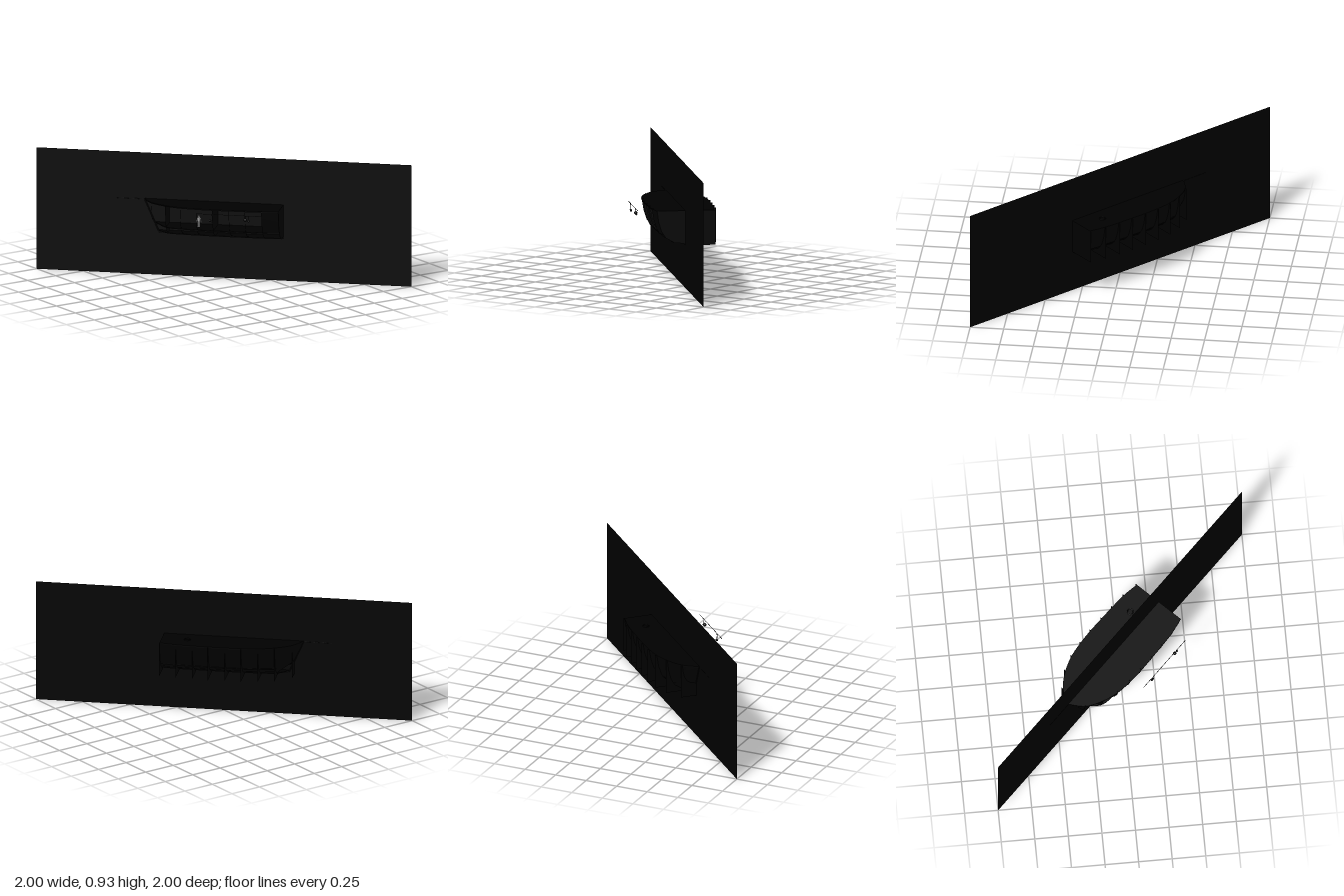
import * as THREE from 'three';

const black = new THREE.MeshStandardMaterial({ color: 0x000000, side: THREE.DoubleSide });
const grey = new THREE.MeshStandardMaterial({ color: 0xcccccc });

const KEEL = 0.33, RIM = 0.58;
// Frame stations: distance along the hull (bow negative), half beam
const STATIONS = [
  [-0.53, 0.11], [-0.41, 0.185], [-0.29, 0.225], [-0.167, 0.24], [-0.045, 0.245],
  [0.08, 0.243], [0.2, 0.24], [0.325, 0.233], [0.45, 0.212],
];
// Half section of the hull: fraction of beam, fraction of height
const SECTION = [[0, 0], [0.42, 0.06], [0.68, 0.18], [0.84, 0.38], [0.94, 0.66], [1, 1]];

const keelAt = (x) => (x < -0.49 ? KEEL + (RIM - KEEL) * (-0.49 - x) / 0.11 : KEEL);

function sectionPoints([x, w]) {
  const k = keelAt(x);
  return SECTION.map(([a, b]) => new THREE.Vector2(a * w, k + b * (RIM - k)));
}

function beamFraction(y) {
  const h = (y - KEEL) / (RIM - KEEL);
  const i = Math.max(1, SECTION.findIndex(([, b]) => b >= h));
  const [a0, b0] = SECTION[i - 1], [a1, b1] = SECTION[i];
  return a0 + (a1 - a0) * (h - b0) / (b1 - b0);
}

function add(parent, name, geometry, material = black, x = 0, y = 0, z = 0) {
  const mesh = new THREE.Mesh(geometry, material);
  mesh.name = name;
  mesh.position.set(x, y, z);
  parent.add(mesh);
  return mesh;
}

// Hull skin lofted through stations on one side (+1 port, -1 starboard)
function hullSkin(stations, side) {
  const pos = [], idx = [], n = SECTION.length;
  for (const s of stations) for (const p of sectionPoints(s)) pos.push(s[0], p.y, side * p.x);
  for (let i = 0; i < stations.length - 1; i++) {
    for (let j = 0; j < n - 1; j++) {
      const a = i * n + j, b = a + n;
      if (side > 0) idx.push(a, b, a + 1, b, b + 1, a + 1);
      else idx.push(a, a + 1, b, b, a + 1, b + 1);
    }
  }
  const g = new THREE.BufferGeometry();
  g.setAttribute('position', new THREE.Float32BufferAttribute(pos, 3));
  g.setIndex(idx);
  g.computeVertexNormals();
  return g;
}

// Horizontal deck following the hull outline at height y
function deckGeometry(y, bowX, thickness) {
  const f = beamFraction(y);
  const half = STATIONS.filter(([x]) => x > bowX + 0.03).map(([x, w]) => new THREE.Vector2(x, w * f));
  const curve = new THREE.SplineCurve([new THREE.Vector2(bowX, 0), ...half]).getPoints(40);
  const mirrored = curve.slice(1).reverse().map((p) => new THREE.Vector2(p.x, -p.y));
  const g = new THREE.ExtrudeGeometry(new THREE.Shape([...curve, ...mirrored]),
    { depth: thickness, bevelEnabled: false });
  return g.rotateX(Math.PI / 2).translate(0, y, 0);
}

// Thin panel in the section plane; shape x runs outward to the given side
function sectionPanel(shape, x, side) {
  return new THREE.ShapeGeometry(shape).rotateY(side > 0 ? -Math.PI / 2 : Math.PI / 2).translate(x, 0, 0);
}

// Thin rod between two points
function rod(a, b, r) {
  return new THREE.TubeGeometry(new THREE.LineCurve3(new THREE.Vector3(...a), new THREE.Vector3(...b)), 1, r, 6);
}

export function createModel() {
  const root = new THREE.Group();
  const ship = new THREE.Group();
  ship.name = 'ship';
  ship.rotation.y = -Math.PI / 4; // bow towards -x, -z
  root.add(ship);

  // Upright centre panel
  add(ship, 'centrePanel', new THREE.PlaneGeometry(2 * Math.SQRT2, 0.93), black, 0, 0.465, 0);

  // Starboard skin, closed port quarter
  const bow = [-0.6, 0.0];
  add(ship, 'starboardHull', hullSkin([bow, ...STATIONS], -1));
  add(ship, 'portQuarter', hullSkin(STATIONS.slice(-2), 1));

  // Decks
  add(ship, 'upperDeck', deckGeometry(RIM, -0.6, 0.008));
  add(ship, 'lowerDeck', deckGeometry(0.405, -0.52, 0.006));
  add(ship, 'floor', deckGeometry(0.345, -0.5, 0.006));

  for (const s of STATIONS) {
    const [x, w] = s, curve = sectionPoints(s);

    // Starboard frame plates outside the skin
    const plate = new THREE.Shape([...curve,
      new THREE.Vector2(w + 0.012, RIM), new THREE.Vector2(w + 0.012, 0.32), new THREE.Vector2(0, 0.32)]);
    add(ship, 'framePlate', sectionPanel(plate, x, -1));

    // Slim port ribs on the open side
    const inner = curve.map((p) => new THREE.Vector2(p.x * 0.95, p.y + 0.006)).reverse();
    add(ship, 'portRib', sectionPanel(new THREE.Shape([...curve, ...inner]), x, 1));
  }

  // Port bulkheads and the transom
  for (const i of [1, 4, 7, 8]) {
    const s = STATIONS[i];
    const shape = new THREE.Shape([...sectionPoints(s), new THREE.Vector2(0, RIM)]);
    add(ship, i === 8 ? 'portTransom' : 'bulkhead', sectionPanel(shape, s[0], 1));
    if (i === 8) add(ship, 'starboardTransom', sectionPanel(shape, s[0], -1));
  }

  // Raked stem, keel and bow spar
  add(ship, 'stem', rod([-0.49, KEEL, 0], [-0.6, RIM, 0], 0.005));
  add(ship, 'keel', rod([-0.49, 0.328, 0], [0.45, 0.328, 0], 0.005));
  add(ship, 'bowSpar', rod([-0.6, 0.575, 0], [-0.81, 0.575, 0], 0.002));

  // Deck fitting
  add(ship, 'deckRing', new THREE.TorusGeometry(0.022, 0.004, 6, 16).rotateX(Math.PI / 2), black, 0.255, 0.582, -0.113);

  // Slim line beside the port rail with hanging weights
  add(ship, 'sideLine', rod([-0.14, 0.57, 0.343], [0.346, 0.57, 0.343], 0.0018));
  for (const [x, y, r] of [[-0.04, 0.52, 0.008], [-0.025, 0.515, 0.007], [0.226, 0.537, 0.013], [0.25, 0.53, 0.008]]) {
    add(ship, 'hanger', rod([x, y, 0.34], [x, 0.57, 0.343], 0.0015));
    add(ship, 'weight', new THREE.SphereGeometry(r, 12, 8), black, x, y, 0.34);
  }

  // Small standing figure on the lower deck
  const figure = new THREE.Group();
  figure.name = 'figure';
  figure.position.set(-0.17, 0.405, 0.1);
  ship.add(figure);
  add(figure, 'head', new THREE.SphereGeometry(0.007, 12, 8), grey, 0, 0.082, 0);
  add(figure, 'torso', new THREE.CylinderGeometry(0.011, 0.008, 0.034, 10), grey, 0, 0.056, 0);
  for (const s of [-1, 1]) {
    add(figure, 'leg', new THREE.CylinderGeometry(0.005, 0.004, 0.04, 8), grey, s * 0.005, 0.02, 0);
    add(figure, 'arm', new THREE.CylinderGeometry(0.003, 0.003, 0.034, 8), grey, s * 0.014, 0.054, 0).rotation.z = s * 0.2;
  }
  return root;
}
